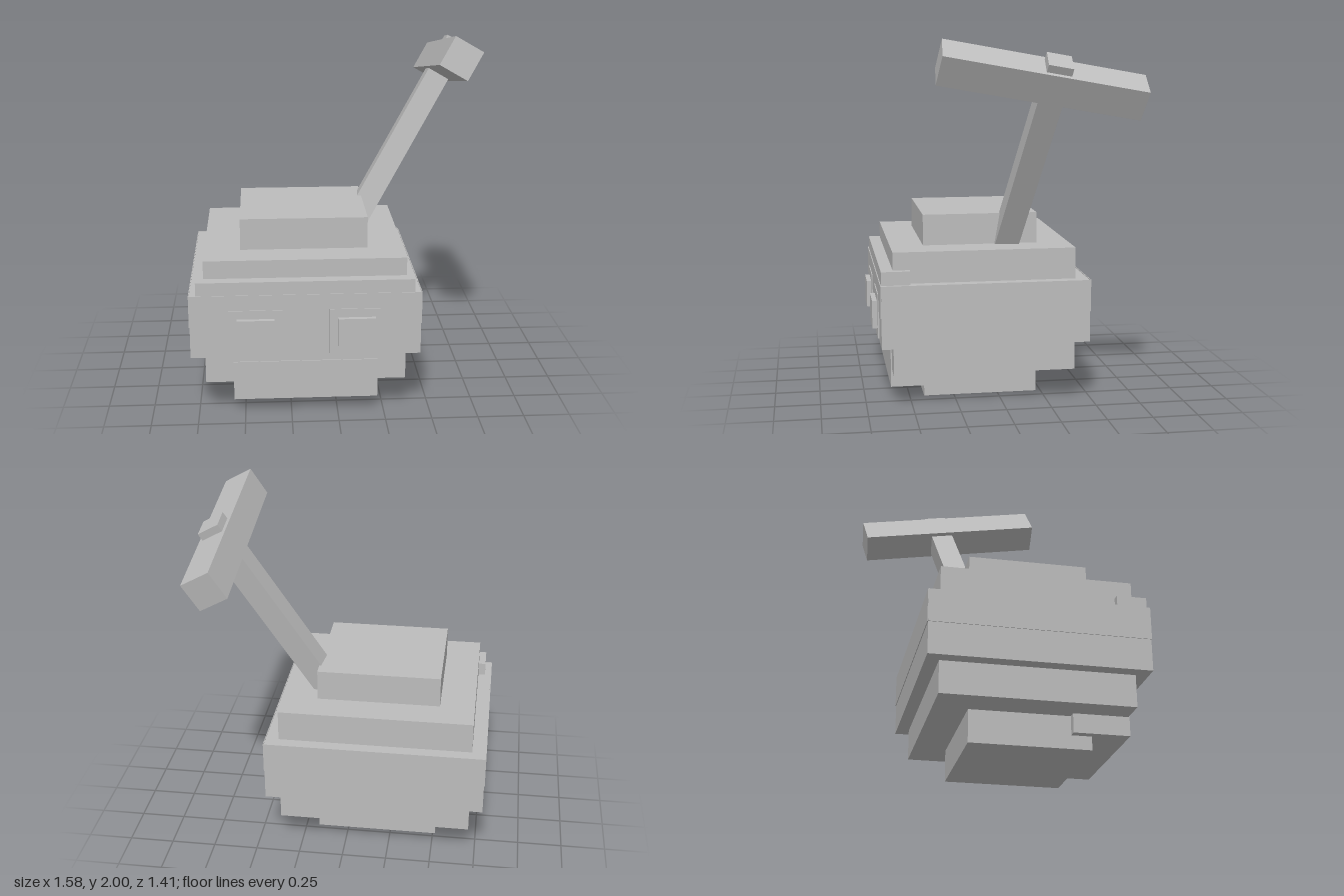
import * as THREE from 'three';

export function createModel() {
  const model = new THREE.Group();
  const stone = new THREE.MeshStandardMaterial({ color: 0xbcbcbc });
  stone.name = 'plain grey';

  // Box given by its lower and upper corners
  function block(name, x0, x1, y0, y1, z0, z1, parent = model) {
    const mesh = new THREE.Mesh(new THREE.BoxGeometry(x1 - x0, y1 - y0, z1 - z0), stone);
    mesh.position.set((x0 + x1) / 2, (y0 + y1) / 2, (z0 + z1) / 2);
    mesh.name = name;
    parent.add(mesh);
    return mesh;
  }

  // Stepped body: square tiers stacked symmetrically
  const small = [-0.515, 0.175, -0.223, 0.418];
  const medium = [-0.71, 0.37, -0.405, 0.602];
  const large = [-0.785, 0.442, -0.474, 0.67];
  const levels = [0, 0.175, 0.347, 0.518, 0.69, 0.863, 1.035];
  [small, medium, large, large, medium, small].forEach(([x0, x1, z0, z1], i) =>
    block('bodyTier' + (i + 1), x0, x1, levels[i], levels[i + 1], z0, z1));

  // Thin band plates around the upper wide tier, open at the corners
  const [x0, x1, z0, z1] = large;
  const t = 0.004;
  block('bandFront', x0, x1, 0.518, 0.694, z1, z1 + t);
  block('bandBack', x0, x1, 0.518, 0.694, z0 - t, z0);
  block('bandRight', x0 - t, x0, 0.518, 0.694, z0, z1);
  block('bandLeft', x1, x1 + t, 0.518, 0.694, z0, z1);

  // Brow and chin ledges
  block('brow', -0.75, 0.408, 0.69, 0.765, 0.51, 0.668);
  block('chin', -0.56, 0.218, 0.073, 0.29, 0.31, 0.608);

  // Eyes on thin sockets, mirrored about the body's centre
  const mid = -0.17;
  for (const [side, s] of [['left', 1], ['right', -1]]) {
    const socket = mid + s * 0.268, eye = mid + s * 0.268;
    block(side + 'EyeSocket', socket - 0.144, socket + 0.144, 0.36, 0.61, 0.66, 0.679);
    block(side + 'Eye', eye - 0.1, eye + 0.1, 0.407, 0.563, 0.66, 0.706);
  }

  // Hammer stuck in the top, leaning left and back
  const hammer = new THREE.Group();
  hammer.name = 'hammer';
  hammer.position.set(0.668, 1.79, -0.153);
  hammer.rotation.set(-Math.PI / 18, 0, -Math.PI / 6);
  block('hammerHead', -0.0865, 0.0865, -0.0865, 0.0865, -0.54, 0.54, hammer);
  block('hammerHandle', -0.064, 0.064, -1.14, 0.13, -0.126, 0.006, hammer);
  model.add(hammer);

  return model;
}
